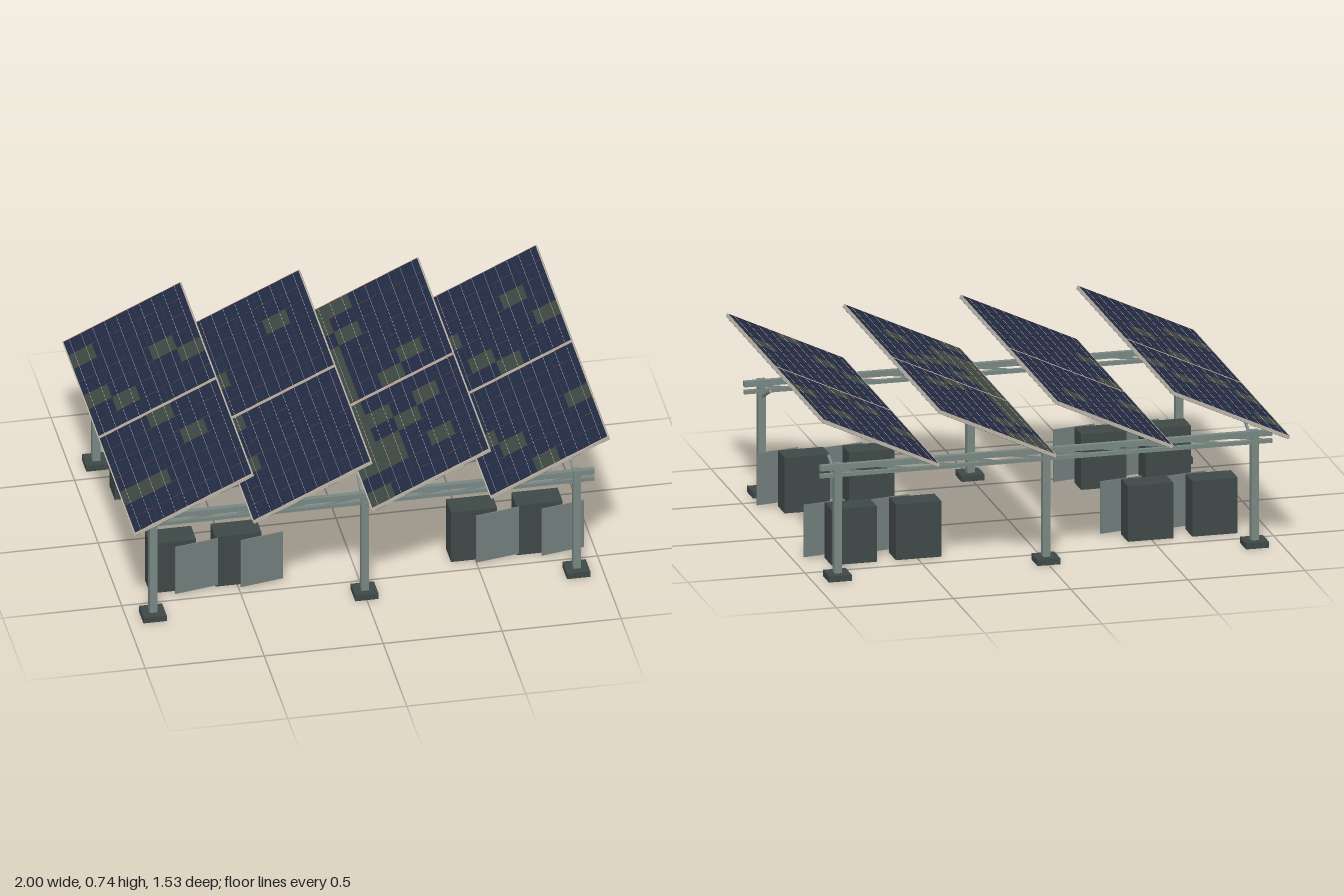
import * as THREE from 'three';
import { mergeGeometries } from 'three/addons/utils/BufferGeometryUtils.js';

const material = (name, color) => {
  const m = new THREE.MeshStandardMaterial({ color });
  m.name = name;
  return m;
};

// A box placed by its centre, optionally turned about y or z
function box(w, h, d, x, y, z, ry = 0, rz = 0) {
  return new THREE.BoxGeometry(w, h, d).rotateZ(rz).rotateY(ry).translate(x, y, z);
}

// A square bar between two points
function bar(a, b, size) {
  const from = new THREE.Vector3(...a), to = new THREE.Vector3(...b);
  const dir = to.clone().sub(from);
  const g = new THREE.BoxGeometry(size, dir.length(), size);
  g.applyQuaternion(new THREE.Quaternion().setFromUnitVectors(new THREE.Vector3(0, 1, 0), dir.normalize()));
  return g.translate(...from.add(to).multiplyScalar(0.5).toArray());
}

function addMesh(parent, name, parts, mat) {
  const mesh = new THREE.Mesh(mergeGeometries(parts), mat);
  mesh.name = name;
  parent.add(mesh);
}

// Grey cells of each panel row: [column, rows from the back]
const GREY_CELLS = [
  [[0, [1, 4, 11]], [1, [5, 11]], [2, [7]], [3, [3, 9]], [4, [4]]],
  [[0, [4, 7, 10]], [3, [2]]],
  [[0, [0, 1, 3, 4, 5, 6, 7, 8, 9, 10, 11, 13]], [1, [0, 2, 8, 10, 11]], [2, [6, 9]], [3, [5, 8, 11]]],
  [[0, [3, 10]], [1, [5, 11]], [2, [6, 13]], [3, [2]], [4, [4, 10]]],
];

export function createModel() {
  const model = new THREE.Group();
  model.name = 'solarCanopy';
  const steel = material('galvanised steel', 0x788682);
  const dark = material('dark steel', 0x3d4846);
  const doorGrey = material('door grey', 0x717d7b);
  const back = material('panel back', 0x36413e);
  const frameMat = material('pale frame', 0xb9b4a8);
  const navy = material('navy cell', 0x212b43);
  const olive = material('grey cell', 0x3d4742);
  const silver = material('silver strip', 0xd0cfc6);
  const copper = material('copper strip', 0x7a3a2c);

  // Posts, feet, braces and rails along both long sides
  const frame = new THREE.Group();
  frame.name = 'supportFrame';
  model.add(frame);
  const posts = [], feet = [], braces = [], rails = [], lacing = [];
  for (const side of [-1, 1]) {
    const z = side * 0.605;
    for (const x of [-0.89, 0, 0.89]) {
      posts.push(box(0.032, 0.475, 0.032, x, 0.26, z));
      feet.push(box(0.098, 0.026, 0.098, x, 0.013, z));
      braces.push(bar([x, 0.422, side * 0.6], [x, 0.488, side * 0.462], 0.01));
    }
    rails.push(box(1.93, 0.024, 0.022, 0, 0.482, z));
    rails.push(box(1.93, 0.016, 0.018, 0, 0.447, z));
    for (let i = 0; i < 10; i++) {
      const x = -0.95 + i * 0.19;
      lacing.push(bar([x, 0.45, z], [x + 0.19, 0.477, z], 0.008));
    }
  }
  addMesh(frame, 'posts', posts, steel);
  addMesh(frame, 'feet', feet, dark);
  addMesh(frame, 'braces', braces, steel);
  addMesh(frame, 'rails', rails, steel);
  addMesh(frame, 'railLacing', lacing, steel);

  // Equipment cabinets, each with a door standing ajar
  const cabinets = [], doors = [];
  for (const z of [0.376, -0.371]) {
    for (const x of [-0.77, -0.495, 0.495, 0.77]) {
      cabinets.push(box(0.194, 0.24, 0.107, x, 0.12, z));
      doors.push(box(0.188, 0.225, 0.006, x + 0.094, 0.1225, z + 0.073, 0.19));
    }
  }
  addMesh(model, 'cabinets', cabinets, dark);
  addMesh(model, 'cabinetDoors', doors, doorGrey);

  // Four tilted rows of two panels, with 5 by 7 cells on each panel
  const L = 0.55, W = 0.76, T = 0.015, EDGE = 0.005;
  const du = (L - 2 * EDGE) / 5, dv = (W - 2 * EDGE) / 7;
  for (let r = 0; r < 4; r++) {
    const row = new THREE.Group();
    row.name = 'panelRow' + (r + 1);
    row.position.set(-0.7475 + r * 0.49833, 0.619, 0);
    row.rotation.z = THREE.MathUtils.degToRad(25);
    model.add(row);
    const grey = new Set(GREY_CELLS[r].flatMap(([c, list]) => list.map((k) => c + '_' + k)));
    const backs = [], edges = [], blueCells = [], greyCells = [], strips = [], ribbons = [];
    for (const half of [0, 1]) {
      const z = (half - 0.5) * 0.77;
      backs.push(box(L - 0.002, T - 0.002, W - 0.002, 0, -0.001, z));
      for (const s of [-1, 1]) {
        edges.push(box(EDGE, T - 0.001, W, s * (L - EDGE) / 2, 0.0005, z));
        edges.push(box(L, T - 0.001, EDGE, 0, 0.0005, z + s * (W - EDGE) / 2));
      }
      for (let c = 0; c < 5; c++) {
        const u = (c - 2) * du;
        for (let k = 0; k < 7; k++) {
          const cell = box(du - 0.0015, 0.002, dv - 0.0015, u, T / 2 - 0.001, z + (k - 3) * dv);
          (grey.has(c + '_' + (k + half * 7)) ? greyCells : blueCells).push(cell);
        }
        // Fine conductor strips along the cells
        for (const s of [-1, 1]) strips.push(box(0.001, 0.001, W - 2 * EDGE, u + s * du / 4, T / 2 + 0.0003, z));
      }
      for (let k = 0; k <= 7; k++) {
        ribbons.push(box(L - 2 * EDGE, 0.001, 0.001, 0, T / 2 + 0.0001, z + (k - 3.5) * dv));
      }
    }
    addMesh(row, 'panelBacks', backs, back);
    addMesh(row, 'panelFrames', edges, frameMat);
    addMesh(row, 'navyCells', blueCells, navy);
    addMesh(row, 'greyCells', greyCells, olive);
    addMesh(row, 'silverStrips', strips, silver);
    addMesh(row, 'copperStrips', ribbons, copper);
  }
  return model;
}
